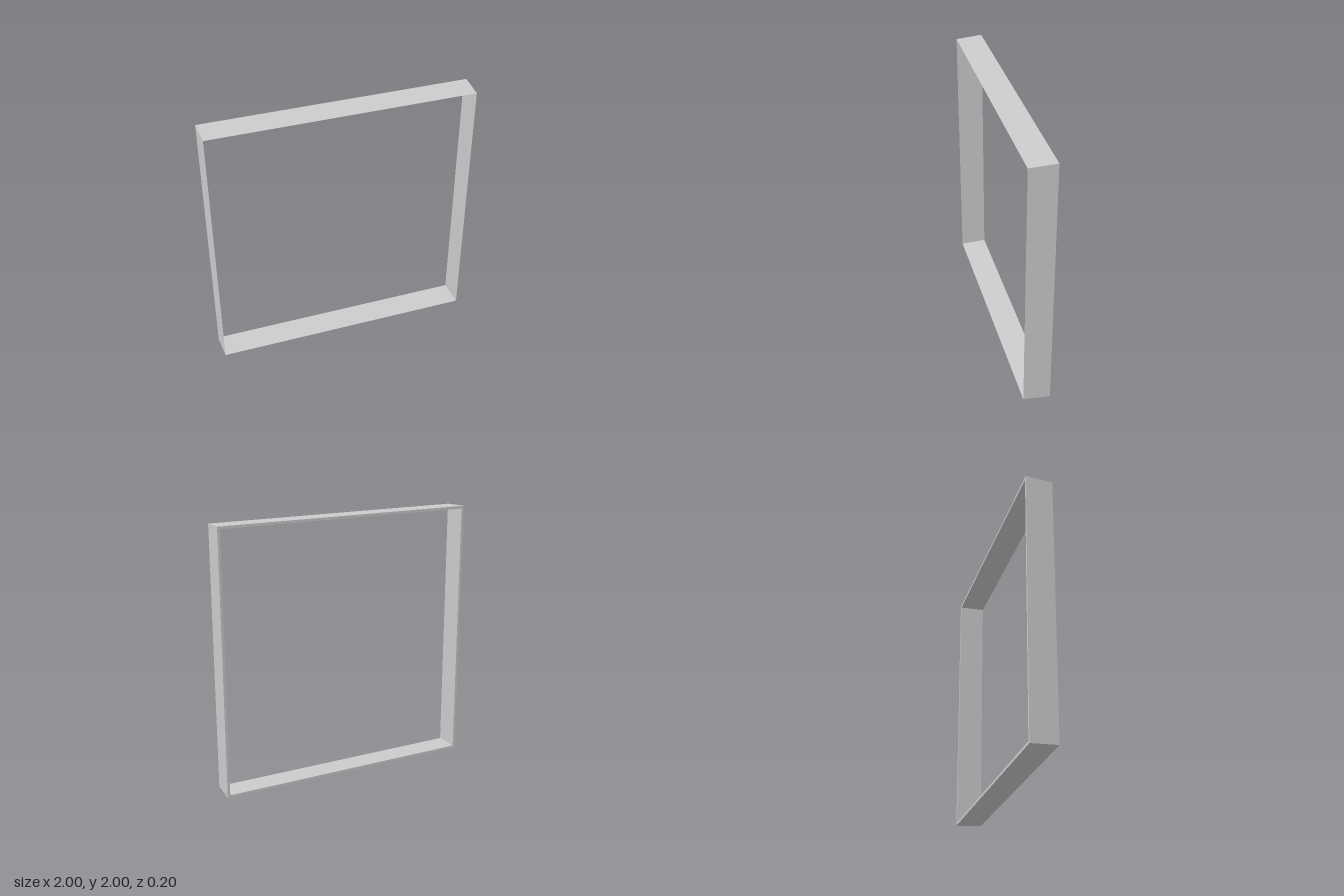
import * as THREE from 'three';

export function createModel() {
  const model = new THREE.Group();
  const half = 1, depth = 0.1, rim = 0.02;

  // Wedge section (half-width, depth): flat rim at the back, thin edge at the front
  const section = [
    [half - rim, -depth],
    [half, -depth],
    [half - rim / 2, depth],
    [half - rim, -depth],
  ].map(([r, z]) => new THREE.Vector2(r * Math.SQRT2, z));

  // Four-sided lathe gives a square frame with mitred corners
  const geometry = new THREE.LatheGeometry(section, 4)
    .rotateY(Math.PI / 4)
    .rotateX(Math.PI / 2)
    .toNonIndexed();
  geometry.computeVertexNormals();

  const material = new THREE.MeshStandardMaterial({ color: 0xcccccc, flatShading: true });
  const frame = new THREE.Mesh(geometry, material);
  frame.name = 'squareFrame';
  frame.position.y = half;
  model.add(frame);
  return model;
}
